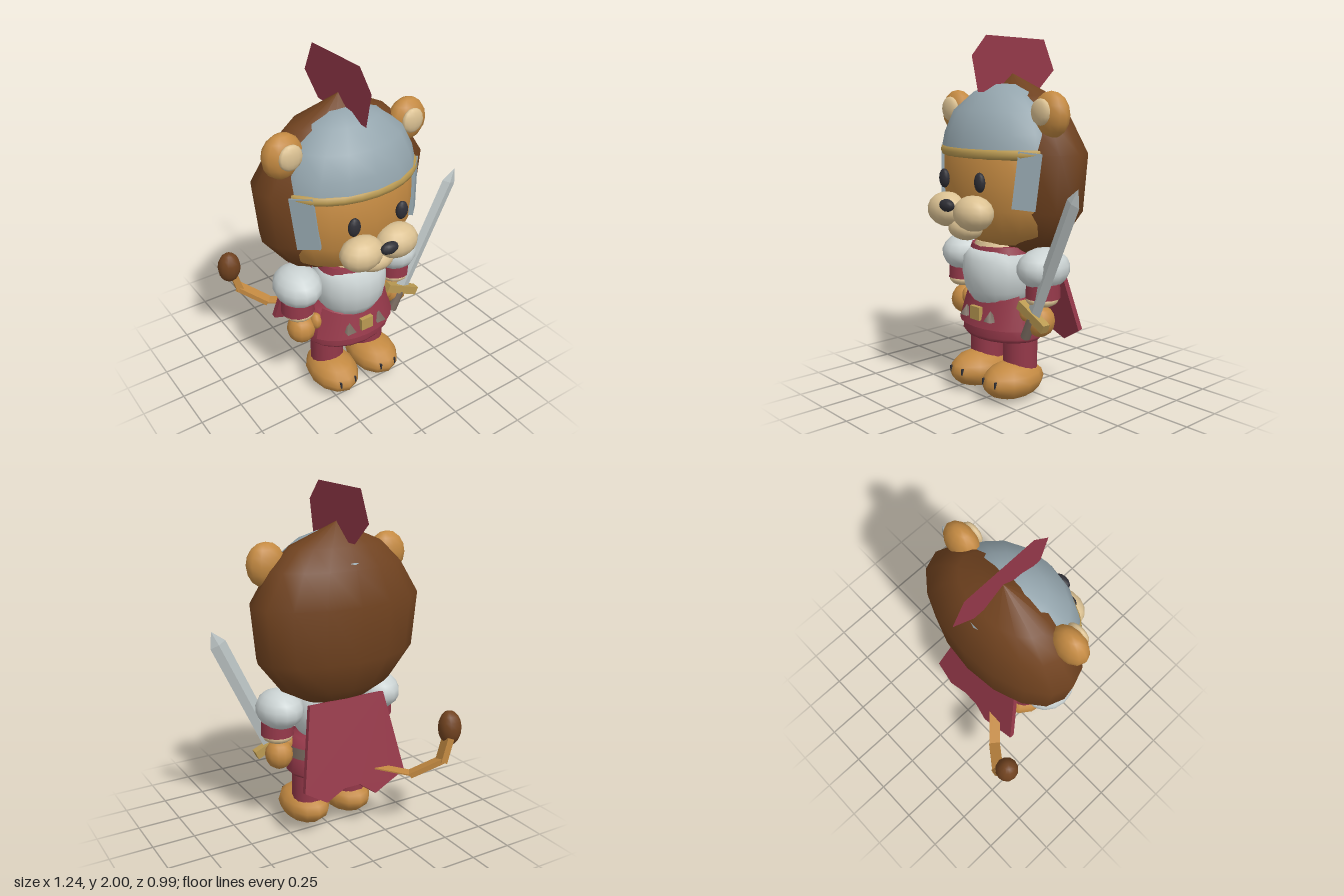
import * as THREE from 'three';

const mat = (name, color) => Object.assign(new THREE.MeshStandardMaterial({ color }), { name });
const outline = pts => new THREE.Shape(pts.map(p => new THREE.Vector2(...p)));

export function createModel() {
  const fur = mat('fur', 0xc48a42);
  const maneBrown = mat('mane brown', 0x70421f);
  const steel = mat('helmet steel', 0x94a5ad);
  const white = mat('shirt white', 0xcbd3d3);
  const maroon = mat('maroon cloth', 0x943849);
  maroon.side = THREE.DoubleSide;
  const cream = mat('cream', 0xdcc293);
  const black = mat('black', 0x2f2f36);
  const gold = mat('gold', 0xba9a52);
  const leather = mat('leather', 0x7a6b60);
  const bladeGrey = mat('blade grey', 0xbcc4c4);
  bladeGrey.flatShading = true;

  const model = new THREE.Group();
  const figure = new THREE.Group();
  figure.name = 'figure';
  figure.position.x = -0.055; // the sword arm makes the figure stand off centre
  model.add(figure);

  const add = (name, geo, material, x, y, z, parent = figure) => {
    const m = new THREE.Mesh(geo, material);
    m.name = name;
    m.position.set(x, y, z);
    parent.add(m);
    return m;
  };
  const ball = (name, material, p, r, w = 14, h = 9) =>
    add(name, new THREE.SphereGeometry(1, w, h).scale(...r), material, ...p);
  const lathe = (name, material, pts, segs, zScale, z) =>
    add(name, new THREE.LatheGeometry(pts.map(p => new THREE.Vector2(...p)), segs).scale(1, 1, zScale), material, 0, 0, z);

  // Mane and head
  lathe('mane', maneBrown, [[0, 0.76], [0.2, 0.81], [0.345, 0.89], [0.485, 1.07], [0.515, 1.38],
    [0.4, 1.565], [0.28, 1.68], [0, 1.8]], 16, 0.535, 0);
  lathe('head', fur, [[0, 0.86], [0.21, 0.875], [0.33, 0.94], [0.395, 1.08], [0.41, 1.22], [0.4, 1.4],
    [0.29, 1.56], [0, 1.66]], 20, 0.74, 0.055);

  // Helmet: dome, rim, cheek guards and crest
  lathe('helmetDome', steel, [[0.408, 1.405], [0.39, 1.48], [0.33, 1.6], [0.2, 1.7], [0.09, 1.74], [0, 1.745]],
    16, 0.76, 0.055);
  add('helmetRim', new THREE.TorusGeometry(0.398, 0.03, 8, 28).rotateX(Math.PI / 2).scale(1, 1, 0.73),
    gold, 0, 1.38, 0.055);
  const crest = outline([[-0.29, 1.89], [-0.19, 2], [0.24, 1.99], [0.32, 1.82], [0.19, 1.7], [-0.25, 1.7]]);
  add('helmetCrest', new THREE.ShapeGeometry(crest).rotateY(Math.PI / 2), maroon, 0, 0, 0);

  // Muzzle
  ball('nose', black, [0, 1.11, 0.469], [0.054, 0.034, 0.03], 12, 8);
  ball('chin', cream, [0, 0.975, 0.345], [0.115, 0.066, 0.08]);

  for (const s of [1, -1]) {
    // Face
    ball('ear', fur, [s * 0.385, 1.585, 0.08], [0.115, 0.123, 0.077], 12, 8);
    ball('innerEar', cream, [s * 0.375, 1.6, 0.147], [0.068, 0.07, 0.028], 12, 8);
    ball('eye', black, [s * 0.15, 1.235, 0.368], [0.037, 0.053, 0.024], 12, 8);
    ball('muzzle', cream, [s * 0.112, 1.07, 0.38], [0.125, 0.095, 0.098]);
    const guard = add('cheekGuard', new THREE.BoxGeometry(0.125, 0.3, 0.025), steel, s * 0.345, 1.245, 0.214);
    guard.rotation.set(0, s * 0.8, s * -0.12);

    // Arm
    ball('shoulder', white, [s * 0.325, 0.763, 0.072], [0.133, 0.114, 0.158]);
    add('sleeve', new THREE.CylinderGeometry(0.092, 0.096, 0.08, 14), maroon, s * 0.335, 0.648, 0.085);
    ball('cuff', cream, [s * 0.332, 0.597, 0.088], [0.088, 0.042, 0.09]);
    ball('hand', fur, [s * 0.322, 0.475, 0.093], [0.082, 0.088, 0.084], 12, 8);
    ball('thumb', fur, [s * 0.248, 0.515, 0.13], [0.035, 0.052, 0.04], 10, 7);

    // Leg and foot
    add('leg', new THREE.CylinderGeometry(0.097, 0.097, 0.22, 16), maroon, s * 0.142, 0.28, 0.075);
    ball('foot', fur, [s * 0.143, 0.108, 0.13], [0.14, 0.107, 0.198], 12, 8);
    for (const t of [-0.05, 0.05]) {
      add('toeLine', new THREE.BoxGeometry(0.009, 0.036, 0.03), black, s * 0.143 + t, 0.122, 0.296);
    }

    // Belt stud
    const stud = add('beltStud', new THREE.ConeGeometry(0.04, 0.06, 4), leather, s * 0.102, 0.485, 0.258);
    stud.rotation.y = Math.PI / 4;
  }

  // Torso and collar
  lathe('shirt', white, [[0, 0.53], [0.155, 0.54], [0.2, 0.61], [0.217, 0.7], [0.21, 0.79], [0.17, 0.838], [0, 0.85]],
    18, 0.95, 0.1);
  add('collar', new THREE.CylinderGeometry(0.175, 0.19, 0.04, 18).scale(1, 1, 0.82), maroon, 0, 0.842, 0.1);
  add('neckTrim', new THREE.CylinderGeometry(0.125, 0.135, 0.025, 18), cream, 0, 0.872, 0.11);

  // Skirt, belt around the back and front flap
  lathe('skirt', maroon, [[0, 0.335], [0.25, 0.337], [0.27, 0.36], [0.258, 0.43], [0.225, 0.57], [0, 0.57]], 18, 0.74, 0.075);
  add('belt', new THREE.CylinderGeometry(0.258, 0.262, 0.065, 18, 1, true, 1.6, Math.PI * 2 - 3.2).scale(1, 1, 0.76),
    leather, 0, 0.487, 0.075);
  const flap = new THREE.CylinderGeometry(0.235, 0.29, 0.19, 8, 1, true, -1.15, 2.3).scale(1, 1, 0.74);
  const fp = flap.attributes.position;
  for (let i = 0; i < fp.count; i++) { // raise the top corners into points
    if (fp.getY(i) > 0) fp.setY(i, fp.getY(i) - 0.055 + 0.055 * (fp.getX(i) / 0.215) ** 2);
  }
  flap.computeVertexNormals();
  add('skirtFlap', flap, maroon, 0, 0.505, 0.075);
  add('buckle', new THREE.BoxGeometry(0.078, 0.075, 0.025), gold, 0, 0.488, 0.276);

  // Cape with a ragged hem
  const capeShape = outline([[-0.24, 0], [-0.33, -0.485], [-0.22, -0.53], [-0.12, -0.575], [-0.02, -0.5],
    [0.08, -0.5], [0.2, -0.555], [0.33, -0.475], [0.24, 0]]);
  const cape = add('cape', new THREE.ExtrudeGeometry(capeShape, { depth: 0.03, bevelEnabled: false }),
    maroon, 0, 0.825, -0.13);
  cape.rotation.x = 0.22;

  // Tail in three straight pieces with a tuft
  const tail = [[-0.08, 0.42, -0.08], [-0.36, 0.381, -0.345], [-0.492, 0.475, -0.445], [-0.525, 0.6, -0.45]]
    .map(p => new THREE.Vector3(...p));
  const thick = [0.008, 0.03, 0.04];
  for (let i = 0; i < 3; i++) {
    const a = tail[i], b = tail[i + 1], mid = a.clone().add(b).multiplyScalar(0.5);
    const piece = add('tail', new THREE.BoxGeometry(0.066, thick[i], a.distanceTo(b) + 0.02), fur, mid.x, mid.y, mid.z, model);
    piece.lookAt(b);
  }
  const tuft = ball('tailTuft', maneBrown, [-0.495, 0.655, -0.43], [0.068, 0.1, 0.066], 12, 8);
  tuft.rotation.x = 0.1;

  // Sword
  const sword = new THREE.Group();
  sword.name = 'sword';
  sword.position.set(0.28, 0.515, 0.16);
  sword.rotation.set(0, -0.05, -0.44);
  model.add(sword);
  add('blade', new THREE.CylinderGeometry(0.048, 0.048, 0.7, 4).scale(1, 1, 0.33), bladeGrey, 0, 0.36, 0, sword);
  add('bladeTip', new THREE.ConeGeometry(0.048, 0.085, 4).scale(1, 1, 0.33), bladeGrey, 0, 0.7525, 0, sword);
  add('crossGuard', new THREE.BoxGeometry(0.225, 0.05, 0.045), gold, 0, 0, 0, sword);
  add('grip', new THREE.CylinderGeometry(0.026, 0.028, 0.13, 8), leather, 0, -0.08, 0, sword);

  return model;
}
